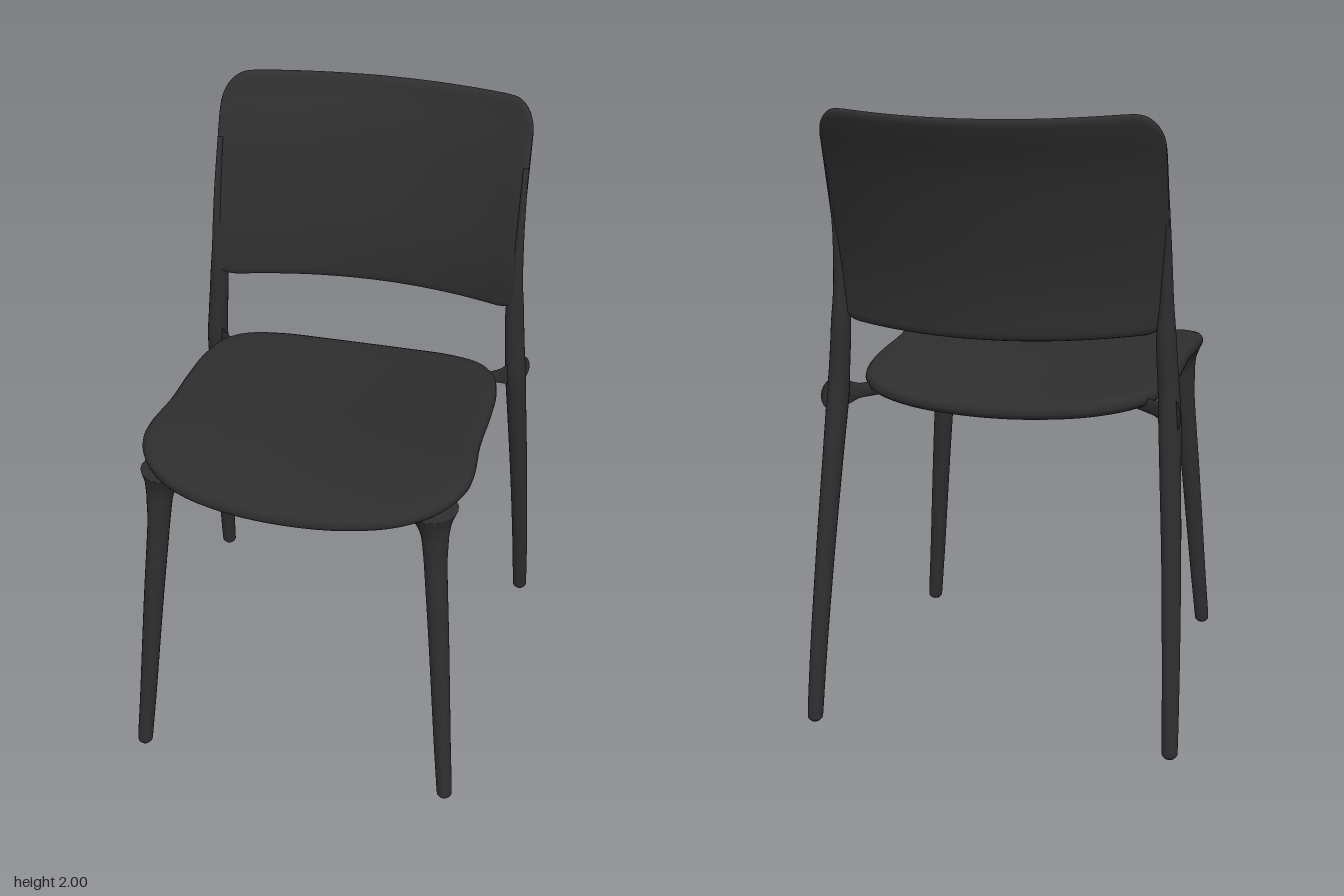
import * as THREE from 'three';

const V = (x, y, z) => new THREE.Vector3(x, y, z);

// Closed smooth skin over equally sized loops of points, with a fan at each end
function loft(rings) {
  const n = rings[0].length;
  const pts = rings.flat();
  const centre = (ring) => ring.reduce((s, p) => s.add(p), V(0, 0, 0)).divideScalar(n);
  const a = pts.push(centre(rings[0])) - 1;
  const b = pts.push(centre(rings.at(-1))) - 1;
  const last = (rings.length - 1) * n;
  const tris = [];
  for (let j = 0; j < n; j++) {
    const k = (j + 1) % n;
    tris.push([a, k, j], [b, last + j, last + k]);
    for (let i = 0; i < last; i += n) {
      tris.push([i + j, i + k, i + n + k], [i + j, i + n + k, i + n + j]);
    }
  }
  // Turn the faces outward whichever way the loops run
  let volume = 0;
  for (const [p, q, r] of tris) volume += pts[p].dot(V(0, 0, 0).crossVectors(pts[q], pts[r]));
  if (volume < 0) tris.forEach((t) => t.reverse());
  const geo = new THREE.BufferGeometry().setFromPoints(pts);
  geo.setIndex(tris.flat());
  geo.computeVertexNormals();
  return geo;
}

// Tapered limb through sections [x, y, z, half width, half depth]
function limb(sections, axisU = V(1, 0, 0), axisV = V(0, 0, 1), steps = 40) {
  const path = new THREE.CatmullRomCurve3(sections.map((s) => V(s[0], s[1], s[2])));
  const size = new THREE.CatmullRomCurve3(sections.map((s) => V(s[3], s[4], 0)));
  const rings = [];
  for (let i = 0; i <= steps; i++) {
    const c = path.getPoint(i / steps), r = size.getPoint(i / steps);
    rings.push(Array.from({ length: 20 }, (_, j) => {
      const t = (j / 20) * Math.PI * 2;
      return c.clone().addScaledVector(axisU, r.x * Math.cos(t)).addScaledVector(axisV, r.y * Math.sin(t));
    }));
  }
  return loft(rings);
}

// Saddle shaped seat with a soft rim
function seatGeometry() {
  const half = [[0, 0.675], [0.2, 0.663], [0.36, 0.625], [0.47, 0.55], [0.525, 0.45], [0.533, 0.37], [0.52, 0.2],
    [0.52, 0], [0.512, -0.15], [0.482, -0.27], [0.42, -0.35], [0.3, -0.405], [0.15, -0.428], [0, -0.435]];
  const mirrored = half.slice(1, -1).reverse().map(([x, z]) => [-x, z]);
  const outline = new THREE.CatmullRomCurve3([...half, ...mirrored].map(([x, z]) => V(x, 0, z)), true).getPoints(104);
  outline.pop();
  const top = (x, z) => 1.12 + 0.16 * x * x - (z < 0.3 ? 0.05 * (0.3 - z) : 0.15 * (z - 0.3) ** 2);
  // Each ring: outline scale and depth below the top surface
  const profile = [[0.1, 0], [0.4, 0], [0.7, 0], [0.88, 0], [0.95, 0.002], [0.98, 0.009], [0.995, 0.02], [1, 0.034],
    [0.993, 0.046], [0.975, 0.053], [0.94, 0.055], [0.7, 0.055], [0.4, 0.055], [0.1, 0.055]];
  return loft(profile.map(([s, d]) => outline.map((p) => {
    const x = p.x * s, z = 0.1 + (p.z - 0.1) * s;
    return V(x, top(x, z) - d, z);
  })));
}

// Backrest bowed sideways and leaning back towards the top
function backrestGeometry() {
  const lean = new THREE.SplineCurve([[1.3, -0.492], [1.5, -0.505], [1.7, -0.545], [1.85, -0.598], [2, -0.668]]
    .map(([y, z]) => new THREE.Vector2(y, z)));
  const zAt = (y) => lean.getPoint(THREE.MathUtils.clamp((y - 1.3) / 0.7, 0, 1)).y;
  const rings = [], cols = 48, rows = 24, width = 0.533;
  for (let i = 0; i <= cols; i++) {
    const x = width * Math.sin((i / cols - 0.5) * Math.PI);
    const q = Math.abs(x) / width;
    const corner = Math.max(0, (Math.abs(x) - (width - 0.08)) / 0.08);
    const high = 1.984 + 0.014 * Math.min(1, (q / 0.8) ** 2) - 0.1 * (1 - Math.sqrt(Math.max(0, 1 - corner * corner)));
    const low = 1.298 + 0.022 * q * q + 0.03 * corner * corner;
    const thick = 0.017 * Math.sqrt(Math.max(0.08, 1 - corner ** 4));
    const ring = [];
    for (let j = 0; j < rows * 2; j++) {
      const t = (j / (rows * 2)) * Math.PI * 2;
      const y = (high + low) / 2 + ((high - low) / 2) * Math.cos(t);
      const side = Math.sign(Math.sin(t)) * Math.min(1, Math.abs(Math.sin(t)) * 4);
      ring.push(V(x, y, zAt(y) + 0.5 * x * x + (j % rows === 0 ? 0 : side * thick)));
    }
    rings.push(ring);
  }
  return loft(rings);
}

export function createModel() {
  const chair = new THREE.Group();
  chair.name = 'chair';
  const plastic = new THREE.MeshStandardMaterial({ color: 0x2e2e2e });
  plastic.name = 'charcoal plastic';

  const add = (name, geometry) => {
    const mesh = new THREE.Mesh(geometry, plastic);
    mesh.name = name;
    chair.add(mesh);
  };
  // The part on the left and its mirror image on the right
  const addPair = (name, build) => {
    for (const [label, s] of [['left', 1], ['right', -1]]) add(`${label} ${name}`, build(s));
  };
  const flip = (sections, s) => sections.map(([x, ...rest]) => [x * s, ...rest]);

  add('seat', seatGeometry());
  add('backrest', backrestGeometry());

  // Front legs flare into the seat's underside
  addPair('front leg', (s) => limb(flip([
    [0.526, 0, 0.622, 0.016, 0.016], [0.526, 0.012, 0.621, 0.025, 0.025], [0.51, 0.2, 0.604, 0.028, 0.027],
    [0.478, 0.6, 0.568, 0.033, 0.031], [0.452, 0.9, 0.54, 0.037, 0.034], [0.445, 1.0, 0.532, 0.044, 0.039],
    [0.436, 1.045, 0.522, 0.058, 0.055], [0.425, 1.085, 0.505, 0.085, 0.085],
  ], s)));

  // Rear legs bend at the seat and run up into the backrest's edge
  addPair('rear leg', (s) => limb(flip([
    [0.589, 0, -0.549, 0.016, 0.016], [0.589, 0.012, -0.548, 0.025, 0.025], [0.582, 0.25, -0.512, 0.028, 0.029],
    [0.567, 0.6, -0.453, 0.031, 0.034], [0.55, 0.9, -0.405, 0.034, 0.038], [0.541, 1.06, -0.379, 0.036, 0.041],
    [0.535, 1.15, -0.374, 0.034, 0.036], [0.525, 1.3, -0.375, 0.032, 0.034], [0.524, 1.42, -0.375, 0.022, 0.026],
    [0.525, 1.6, -0.392, 0.013, 0.018], [0.523, 1.8, -0.44, 0.009, 0.012],
  ], s), undefined, undefined, 60));

  // Short flared arms join the rear legs to the seat's back corners
  addPair('seat arm', (s) => limb(flip([
    [0.55, 1.068, -0.385, 0.05, 0.055], [0.525, 1.068, -0.36, 0.042, 0.042], [0.49, 1.07, -0.33, 0.033, 0.026],
    [0.455, 1.072, -0.3, 0.043, 0.024], [0.41, 1.072, -0.26, 0.065, 0.022],
  ], s), V(0.66 * s, 0, -0.75), V(0, 1, 0), 20));

  return chair;
}
